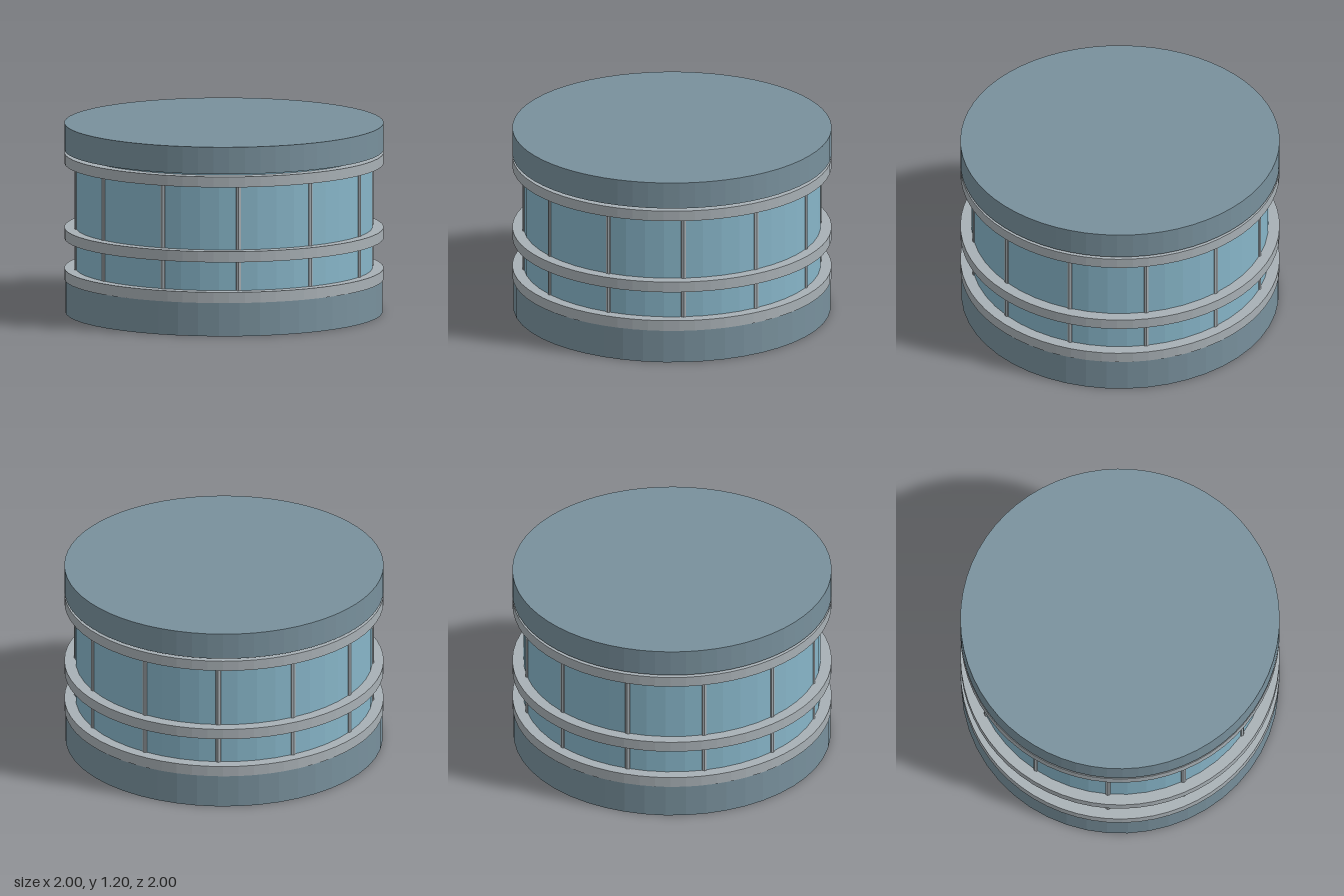
import * as THREE from 'three';

export function createModel() {
  const model = new THREE.Group();
  model.name = 'roundPavilion';

  const material = (name, color) => {
    const m = new THREE.MeshStandardMaterial({ color, flatShading: true });
    m.name = name;
    return m;
  };
  const slate = material('slate', 0x78909c);
  const glass = material('glass', 0x87b5c8);
  const metal = material('metal', 0xa8b0b5);

  // Upright cylinder between two heights
  const drum = (name, radius, y0, y1, mat, sides = 48) => {
    const mesh = new THREE.Mesh(new THREE.CylinderGeometry(radius, radius, y1 - y0, sides), mat);
    mesh.name = name;
    mesh.position.y = (y0 + y1) / 2;
    model.add(mesh);
    return mesh;
  };

  drum('base', 0.994, 0, 0.215, slate);
  drum('glassWall', 0.93, 0.2, 1.04, glass);
  drum('roof', 1, 1.03, 1.2, slate, 64);

  // Flat horizontal bands around the wall
  const bands = [['lowerBand', 0.212, 0.28], ['middleBand', 0.47, 0.538], ['upperBand', 0.945, 1.012]];
  for (const [name, y0, y1] of bands) drum(name, 1, y0, y1, metal, 64);

  // Twelve slim posts set into the wall
  for (let i = 0; i < 12; i++) {
    const a = (i * Math.PI) / 6;
    const post = drum('post', 0.019, 0.25, 0.98, metal, 8);
    post.position.x = 0.921 * Math.sin(a);
    post.position.z = 0.921 * Math.cos(a);
    post.rotation.y = a;
  }

  return model;
}
